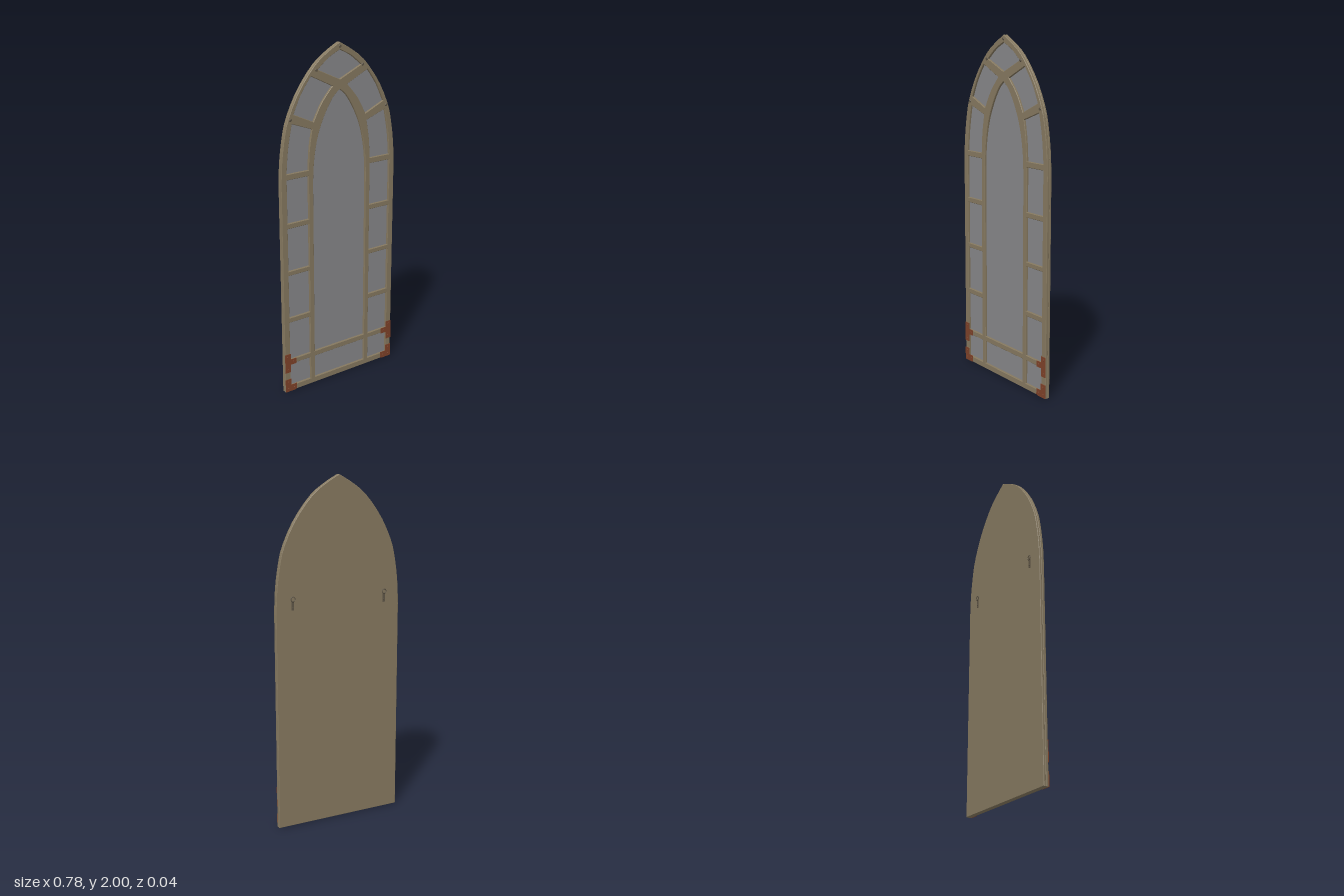
import * as THREE from 'three';

const wood = new THREE.MeshStandardMaterial({ color: 0x85785f });
wood.name = 'weathered wood';
const glass = new THREE.MeshStandardMaterial({ color: 0x868689 });
glass.name = 'mirror grey';
const rust = new THREE.MeshStandardMaterial({ color: 0x7d4128 });
rust.name = 'rusty iron';
const iron = new THREE.MeshStandardMaterial({ color: 0x5e5546 });
iron.name = 'dark iron';

// Each run of points becomes a straight edge (2 points) or a smooth curve (more).
function outline(...runs) {
  return runs.flatMap((run) => {
    const pts = run.map(([x, y]) => new THREE.Vector2(x, y));
    return pts.length > 2 ? new THREE.SplineCurve(pts).getPoints(18) : pts;
  });
}
const flip = (pts) => pts.map((p) => new THREE.Vector2(-p.x, p.y)).reverse();
// Closes a right-hand half outline with its mirror image
const symmetric = (half) => {
  const onAxis = (p) => Math.abs(p.x) < 1e-6;
  return [...half, ...flip(half).filter((p) => !onAxis(p))];
};
const rect = (x0, y0, x1, y1) => outline([[x0, y0], [x1, y0]], [[x1, y1], [x0, y1]]);

function add(parent, name, geometry, material, x = 0, y = 0, z = 0) {
  const mesh = new THREE.Mesh(geometry, material);
  mesh.name = name;
  mesh.position.set(x, y, z);
  parent.add(mesh);
  return mesh;
}

function slab(pts, holes, depth, bevel) {
  const shape = new THREE.Shape(pts);
  shape.holes = holes.map((h) => new THREE.Path(h));
  return new THREE.ExtrudeGeometry(shape, {
    depth: depth - 2 * bevel, bevelEnabled: bevel > 0, bevelThickness: bevel,
    bevelSize: bevel, bevelOffset: -bevel, bevelSegments: 1,
  }).translate(0, 0, bevel);
}

export function createModel() {
  const group = new THREE.Group();
  group.name = 'archedWindowMirror';

  // Pointed arch outline
  const arch = symmetric(outline(
    [[0.392, 0], [0.392, 1.2]],
    [[0.392, 1.25], [0.386, 1.38], [0.368, 1.51], [0.34, 1.62], [0.27, 1.76], [0.17, 1.887], [0.085, 1.952], [0, 2]],
  ));

  // Pane openings: centre, bottom and top lie on the axis
  const openings = [
    symmetric(outline([[0.182, 0.207], [0.182, 1.2]],
      [[0.182, 1.25], [0.173, 1.38], [0.146, 1.51], [0.1, 1.62], [0.045, 1.707], [0, 1.745]])),
    rect(-0.182, 0.035, 0.182, 0.175),
    symmetric(outline([[0, 1.8], [0.145, 1.866]], [[0.145, 1.867], [0.075, 1.922], [0, 1.96]])),
  ];
  // Pane openings repeated on both sides
  const sidePanes = [[0.035, 0.175], [0.205, 0.44], [0.47, 0.73], [0.757, 1.01], [1.04, 1.29]]
    .map(([y0, y1]) => rect(0.213, y0, 0.355, y1));
  sidePanes.push(
    outline([[0.355, 1.323], [0.342, 1.46], [0.316, 1.595]], [[0.187, 1.548], [0.205, 1.44], [0.213, 1.323]]),
    outline([[0.304, 1.645], [0.255, 1.745], [0.19, 1.836]], [[0.05, 1.768], [0.122, 1.685], [0.177, 1.588]]),
  );
  for (const pane of sidePanes) openings.push(pane, flip(pane));

  add(group, 'frame', slab(arch, openings, 0.017, 0.0025), wood, 0, 0, -0.002);
  add(group, 'backPanel', slab(arch, [], 0.014, 0.0025), wood, 0, 0, -0.015);

  // Mirror sheet just behind the openings
  const sheet = new THREE.ShapeGeometry(new THREE.Shape(arch.map((p) => new THREE.Vector2(p.x * 0.97, 0.02 + p.y * 0.98))));
  add(group, 'mirrorGlass', sheet, glass, 0, 0, 0.003);

  // Round nail heads at the arch joints
  const nail = (parent, name, x, y, r, z, material) => add(parent, name,
    new THREE.CylinderGeometry(r * 0.7, r, 0.004, 14).rotateX(Math.PI / 2), material, x, y, z);
  for (const [x, y] of [[0, 1.978], [0.155, 1.866], [-0.155, 1.866], [0.325, 1.617], [-0.325, 1.617]]) {
    nail(group, 'nailHead', x, y, 0.009, 0.017, iron);
  }

  for (const s of [1, -1]) {
    // Flat iron brackets: L at the foot, T at the lower bar
    const ell = outline([[0.392, 0], [0.392, 0.08]], [[0.354, 0.08], [0.354, 0.04]], [[0.315, 0.04], [0.315, 0.004]], [[0.33, 0], [0.36, 0]]);
    const tee = outline([[0.392, 0.125], [0.392, 0.243]], [[0.354, 0.243], [0.354, 0.206]], [[0.315, 0.206], [0.315, 0.172]],
      [[0.354, 0.172], [0.354, 0.125]]);
    const side = s > 0 ? 'left' : 'right';
    const brackets = new THREE.Group();
    brackets.name = side + 'Brackets';
    group.add(brackets);
    for (const [name, pts] of [['cornerBracket', ell], ['teeBracket', tee]]) {
      add(brackets, name, slab(s > 0 ? pts : flip(pts), [], 0.003, 0), rust, 0, 0, 0.015);
    }
    for (const [x, y] of [[0.373, 0.063], [0.373, 0.02], [0.333, 0.02], [0.373, 0.143], [0.373, 0.225], [0.333, 0.189]]) {
      nail(brackets, 'bracketNail', s * x, y, 0.006, 0.0185, rust);
    }

    // Hanger on the back: strap, screw and ring
    const hanger = new THREE.Group();
    hanger.name = side + 'Hanger';
    hanger.position.set(s * 0.292, 1.3, -0.0165);
    add(hanger, 'hangerStrap', new THREE.BoxGeometry(0.014, 0.05, 0.004), iron, 0, -0.006, 0);
    add(hanger, 'hangerRing', new THREE.TorusGeometry(0.0125, 0.0025, 8, 20), iron, 0, 0.032, -0.003);
    add(hanger, 'hangerFold', new THREE.CylinderGeometry(0.004, 0.004, 0.014, 10).rotateZ(Math.PI / 2), iron, 0, 0.019, -0.002);
    nail(hanger, 'hangerScrew', 0, -0.016, 0.005, -0.003, iron).rotation.y = Math.PI;
    group.add(hanger);
  }
  return group;
}
